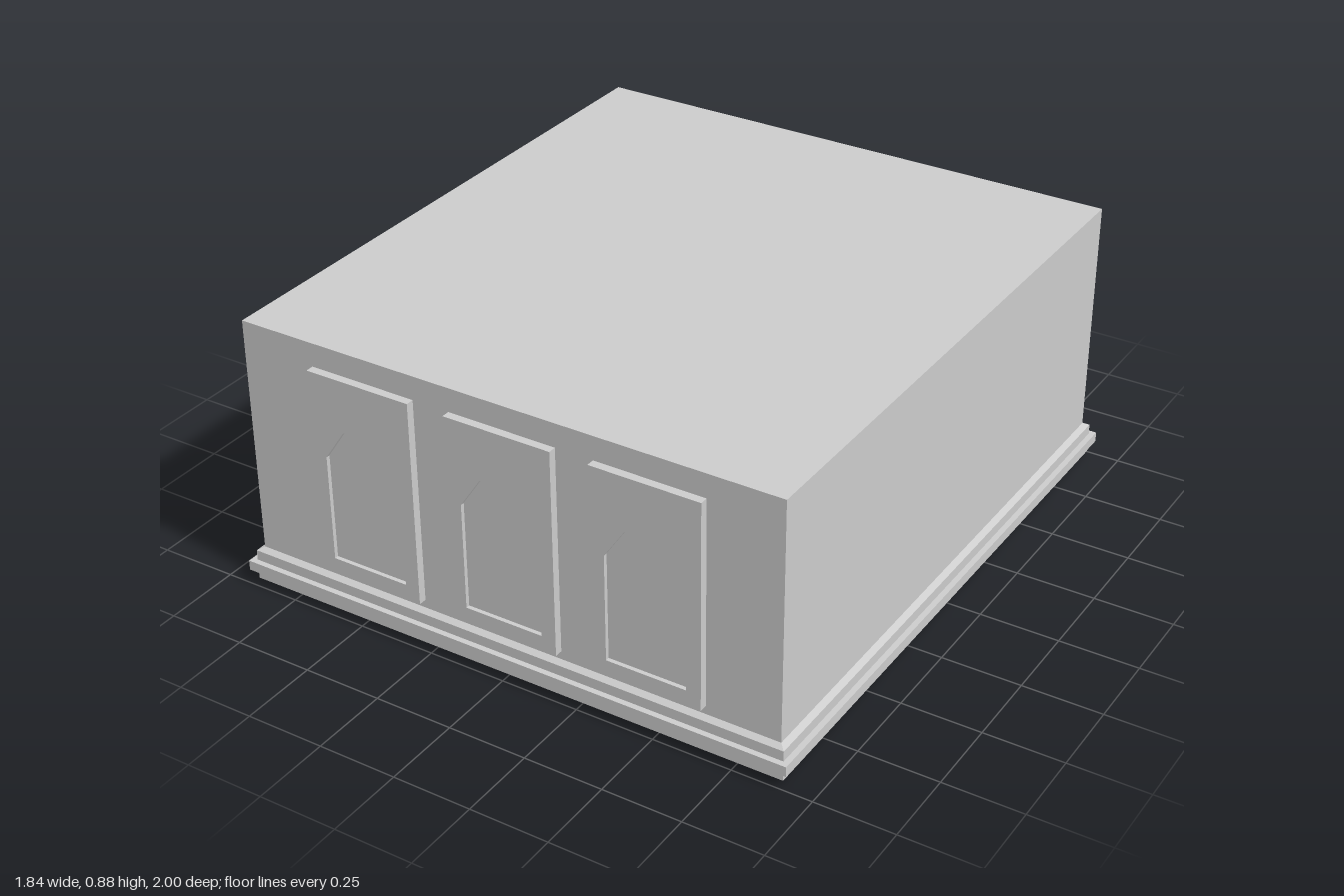
import * as THREE from 'three';

const W = 0.882, D = 0.964, TOP = 0.885; // wall half width, half depth, height
const material = new THREE.MeshStandardMaterial({ color: 0xcccccc, flatShading: true });

function add(group, name, geometry, x = 0, y = 0, z = 0) {
  const mesh = new THREE.Mesh(geometry, material);
  mesh.name = name;
  mesh.position.set(x, y, z);
  group.add(mesh);
  return mesh;
}

// Rectangular rings [offset from wall, y] joined into a closed moulding
function mouldingGeometry(profile) {
  const pos = [], idx = [], last = (profile.length - 1) * 4;
  for (const [o, y] of profile) {
    const w = W + o, d = D + o;
    pos.push(-w, y, d, w, y, d, w, y, -d, -w, y, -d);
  }
  for (let r = 0; r < last; r += 4) {
    for (let i = 0; i < 4; i++) {
      const a = r + i, b = r + (i + 1) % 4;
      idx.push(a, b, b + 4, a, b + 4, a + 4);
    }
  }
  idx.push(0, 2, 1, 0, 3, 2);
  idx.push(last, last + 1, last + 2, last, last + 2, last + 3);
  const indexed = new THREE.BufferGeometry();
  indexed.setAttribute('position', new THREE.Float32BufferAttribute(pos, 3));
  indexed.setIndex(idx);
  const geometry = indexed.toNonIndexed();
  geometry.computeVertexNormals();
  return geometry;
}

// Panel face with a pointed-arch opening
function archFrameGeometry(w, y0, y1, depth) {
  const shape = new THREE.Shape([
    [-w, y0], [w, y0], [w, y1], [-w, y1],
  ].map(([x, y]) => new THREE.Vector2(x, y)));
  shape.holes.push(new THREE.Path([
    [-0.128, 0.2], [-0.128, 0.542], [-0.062, 0.64], [0, 0.685],
    [0.062, 0.64], [0.128, 0.542], [0.128, 0.2],
  ].map(([x, y]) => new THREE.Vector2(x, y))));
  return new THREE.ExtrudeGeometry(shape, { depth, bevelEnabled: false });
}

export function createModel() {
  const model = new THREE.Group();
  model.name = 'buildingBlock';

  // Plain walls and flat roof
  const wallBase = 0.11;
  add(model, 'walls', new THREE.BoxGeometry(2 * W, TOP - wallBase, 2 * D), 0, (TOP + wallBase) / 2, 0);

  // Stepped base moulding with chamfered edges
  add(model, 'baseMoulding', mouldingGeometry([
    [0, 0], [0.018, 0.015], [0.018, 0.048], [0.036, 0.048],
    [0.036, 0.08], [0.018, 0.08], [0.018, 0.113], [0, 0.123],
  ]));

  // Three raised front panels with recessed arches
  const half = 0.174, y0 = 0.15, y1 = 0.81, recessZ = 0.977, frontZ = 0.99;
  for (const x of [-0.462, 0.006, 0.474]) {
    const panel = new THREE.Group();
    panel.name = 'archPanel';
    panel.position.x = x;
    const t = recessZ - D;
    add(panel, 'panelBack', new THREE.BoxGeometry(2 * half, y1 - y0, t), 0, (y0 + y1) / 2, D + t / 2);
    add(panel, 'archFrame', archFrameGeometry(half, y0, y1, frontZ - recessZ), 0, 0, recessZ);
    model.add(panel);
  }
  return model;
}
